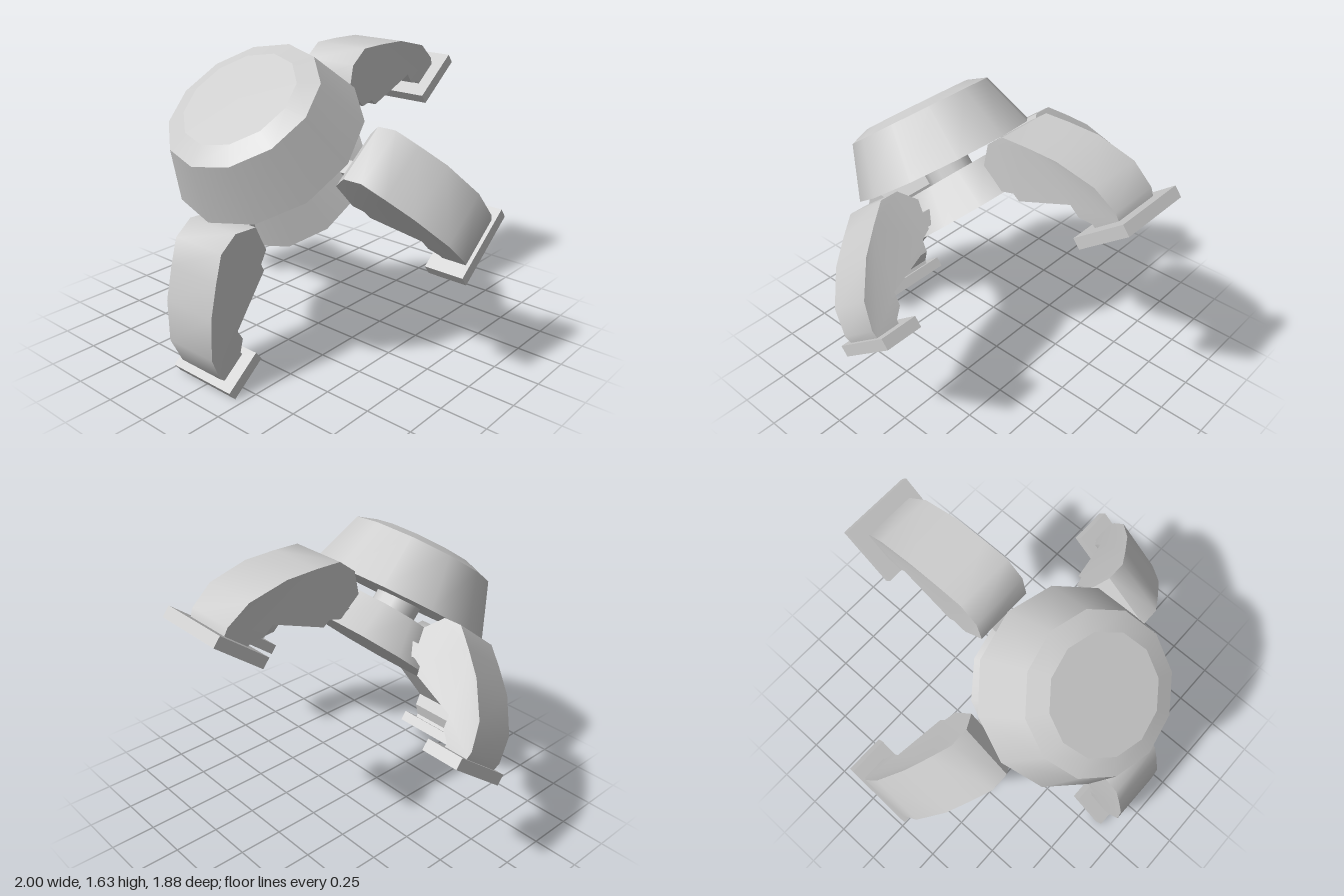
import * as THREE from 'three';
import { toCreasedNormals } from 'three/addons/utils/BufferGeometryUtils.js';

export function createModel() {
  const grey = new THREE.MeshStandardMaterial({ color: 0xcccccc });
  grey.name = 'light grey';

  const model = new THREE.Group();
  model.name = 'fourLeggedMachine';
  // the whole machine leans forward
  const machine = new THREE.Group();
  machine.name = 'tiltedMachine';
  machine.rotation.x = 0.662;
  machine.position.set(0, 0.712, -0.015);
  model.add(machine);

  function add(parent, name, geometry, x = 0, y = 0, z = 0) {
    const mesh = new THREE.Mesh(geometry, grey);
    mesh.name = name;
    mesh.position.set(x, y, z);
    parent.add(mesh);
    return mesh;
  }

  // upper hull with a shallow bevelled crown
  const hull = new THREE.Group();
  hull.name = 'upperHull';
  hull.position.set(0, 0.59, 0.035);
  hull.rotation.x = -0.035;
  machine.add(hull);
  add(hull, 'hullWall', new THREE.CylinderGeometry(0.405, 0.51, 0.29, 12), 0, 0.145, 0);
  add(hull, 'hullCrown', new THREE.CylinderGeometry(0.3, 0.405, 0.036, 12), 0, 0.308, 0);

  // lower drum and the neck that carries the hull
  const drum = new THREE.Group();
  drum.name = 'lowerDrum';
  drum.position.set(0, 0.29, 0.03);
  drum.rotation.x = 0.07;
  machine.add(drum);
  add(drum, 'drumBody', new THREE.CylinderGeometry(0.313, 0.413, 0.21, 12), 0, 0.105, 0);
  add(drum, 'neck', new THREE.CylinderGeometry(0.13, 0.13, 0.16, 12), 0, 0.26, 0);

  // leg side profile: distance outward, height
  const profile = [
    [0.44, 0.49], [0.54, 0.575], [0.66, 0.575], [0.775, 0.49], [0.91, 0.38],
    [1.045, 0.21], [1.08, 0.07], [1.07, 0.03], [0.915, 0.03], [0.915, 0.05],
    [0.86, 0.1], [0.855, 0.17], [0.55, 0.265], [0.54, 0.31], [0.47, 0.34], [0.46, 0.4],
  ];

  function legGeometry(stretch) {
    const points = profile.map(([r, h]) => new THREE.Vector2(0.43 + (r - 0.43) * stretch, h));
    const geometry = new THREE.ExtrudeGeometry(new THREE.Shape(points), { depth: 0.32, bevelEnabled: false });
    geometry.translate(0, 0, -0.16);
    geometry.rotateY(-Math.PI / 2); // outward becomes +z
    // narrow the leg toward the foot
    const p = geometry.attributes.position;
    for (let i = 0; i < p.count; i++) {
      const t = THREE.MathUtils.clamp((0.4 - p.getY(i)) / 0.37, 0, 1);
      p.setX(i, p.getX(i) * (1 - 0.16 * t * t));
    }
    return toCreasedNormals(geometry, 0.75);
  }

  // angle, leg stretch, inner and outer foot edges, sideways shift
  const legs = [
    ['frontLeg', 0, 1, 0.88, 1.115, 0],
    ['leftLeg', Math.PI / 2, 0.86, 0.79, 1.0, -0.05],
    ['backLeg', Math.PI, 1, 0.833, 1.155, 0],
    ['rightLeg', -Math.PI / 2, 0.86, 0.79, 1.0, -0.05],
  ];
  for (const [name, angle, stretch, inner, outer, shift] of legs) {
    const leg = new THREE.Group();
    leg.name = name;
    leg.rotation.y = angle;
    leg.position.z = shift;
    machine.add(leg);
    add(leg, 'limb', legGeometry(stretch));
    add(leg, 'foot', new THREE.BoxGeometry(0.41, 0.06, outer - inner), 0, 0, (inner + outer) / 2);
    // short strut joining limb and drum
    add(leg, 'strut', new THREE.BoxGeometry(0.08, 0.075, 0.24), 0, 0.375, 0.4);
  }
  return model;
}
